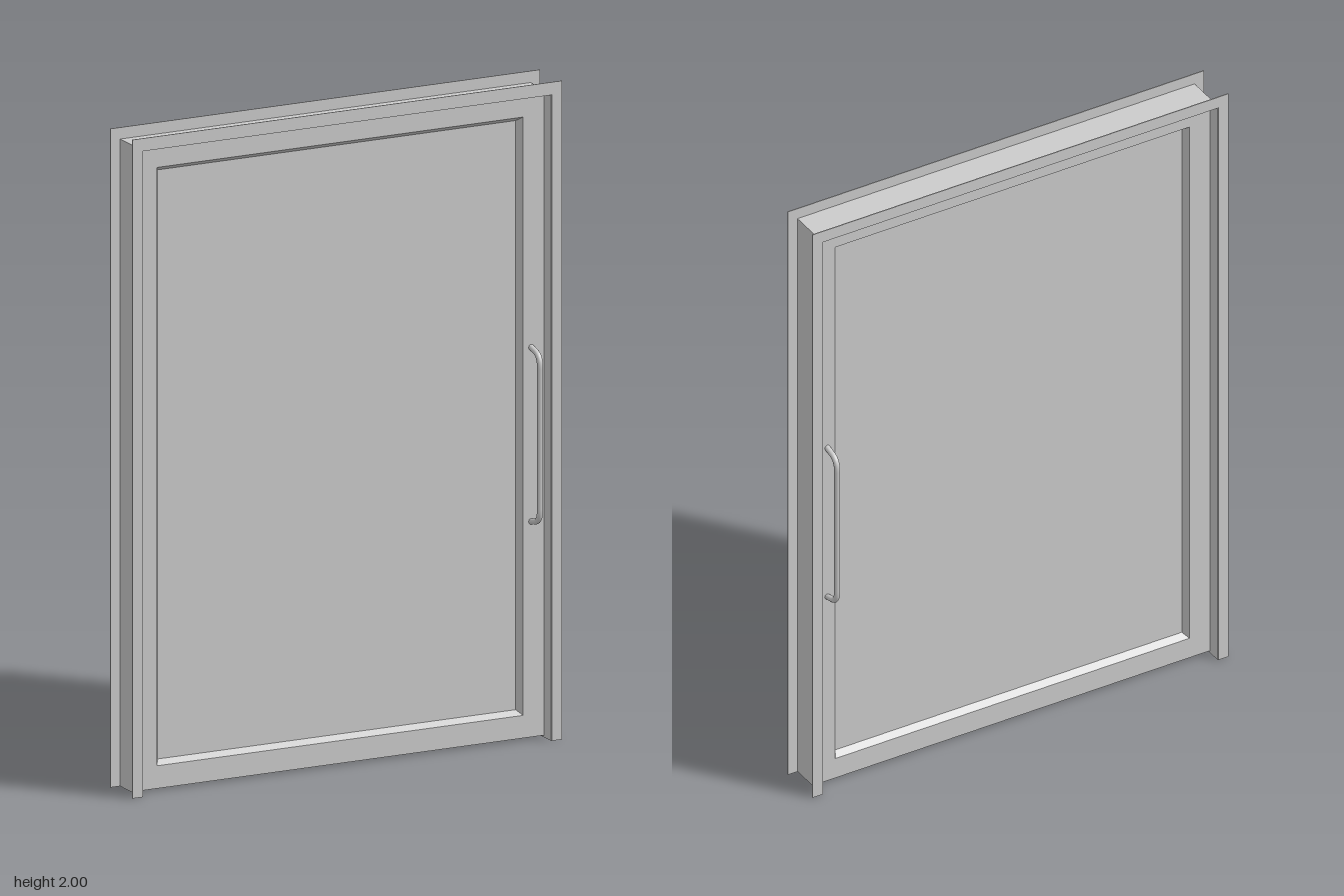
import * as THREE from 'three';

const grey = new THREE.MeshStandardMaterial({ color: 0xcccccc, side: THREE.DoubleSide });

function add(parent, name, geometry) {
  const mesh = new THREE.Mesh(geometry, grey);
  mesh.name = name;
  parent.add(mesh);
  return mesh;
}

// Three-sided surround, open at the floor
function surround(outX, outY, inX, inY, depth, z) {
  const pts = [[-outX, 0], [-outX, outY], [outX, outY], [outX, 0], [inX, 0], [inX, inY], [-inX, inY], [-inX, 0]];
  const shape = new THREE.Shape(pts.map(([x, y]) => new THREE.Vector2(x, y)));
  const g = new THREE.ExtrudeGeometry(shape, { depth, bevelEnabled: false });
  return g.translate(0, 0, z);
}

// Rectangle path between two heights, centred on x
function rect(PathType, x, y0, y1) {
  return new PathType([[-x, y0], [x, y0], [x, y1], [-x, y1]].map(([a, b]) => new THREE.Vector2(a, b)));
}

// Mitred sloping bead from the face of the leaf down to the panel
function beadGeometry(x, y0, y1, width, zOut, zIn) {
  const ring = (w, z) => [[-x + w, y0 + w, z], [x - w, y0 + w, z], [x - w, y1 - w, z], [-x + w, y1 - w, z]];
  const outer = ring(0, zOut), inner = ring(width, zIn);
  const pos = [];
  for (let i = 0; i < 4; i++) {
    const j = (i + 1) % 4;
    pos.push(...outer[i], ...outer[j], ...inner[j], ...outer[i], ...inner[j], ...inner[i]);
  }
  const g = new THREE.BufferGeometry();
  g.setAttribute('position', new THREE.Float32BufferAttribute(pos, 3));
  g.computeVertexNormals();
  return g;
}

// Bowed pull bar with bent ends
function handleGeometry(x) {
  const v = (y, z) => new THREE.Vector3(x, y, z);
  const path = new THREE.CurvePath();
  path.add(new THREE.LineCurve3(v(0.66, 0.022), v(0.668, 0.055)));
  path.add(new THREE.QuadraticBezierCurve3(v(0.668, 0.055), v(0.675, 0.08), v(0.71, 0.081)));
  path.add(new THREE.LineCurve3(v(0.71, 0.081), v(1.14, 0.081)));
  path.add(new THREE.QuadraticBezierCurve3(v(1.14, 0.081), v(1.175, 0.08), v(1.182, 0.055)));
  path.add(new THREE.LineCurve3(v(1.182, 0.055), v(1.19, 0.022)));
  return new THREE.TubeGeometry(path, 120, 0.009, 12);
}

export function createModel() {
  const door = new THREE.Group();
  door.name = 'door';

  // Fixed frame: lining with a thin flange on each face
  const frame = new THREE.Group();
  frame.name = 'frame';
  door.add(frame);
  add(frame, 'lining', surround(0.678, 1.965, 0.674, 1.961, 0.14, -0.07));
  add(frame, 'frontFlange', surround(0.71, 2, 0.676, 1.963, 0.003, 0.068));
  add(frame, 'backFlange', surround(0.71, 2, 0.676, 1.963, 0.003, -0.071));

  // Swinging leaf: stiles and rails around a recessed panel
  const leaf = new THREE.Group();
  leaf.name = 'leaf';
  door.add(leaf);
  const half = 0.025, openX = 0.605, openY0 = 0.075, openY1 = 1.892;
  const outline = rect(THREE.Shape, 0.674, 0.006, 1.961);
  outline.holes.push(rect(THREE.Path, openX, openY0, openY1));
  const rails = new THREE.ExtrudeGeometry(outline, { depth: half * 2, bevelEnabled: false });
  add(leaf, 'stilesAndRails', rails.translate(0, 0, -half));
  const panel = new THREE.BoxGeometry(openX * 2, openY1 - openY0, 0.008);
  add(leaf, 'panel', panel.translate(0, (openY0 + openY1) / 2, 0));

  // Beads and pull handles on both faces
  for (const side of [1, -1]) {
    const label = side > 0 ? 'front' : 'back';
    const bead = add(leaf, label + 'Bead', beadGeometry(openX, openY0, openY1, 0.014, half, 0.004));
    if (side < 0) bead.rotation.y = Math.PI;
    const handle = add(leaf, label + 'Handle', handleGeometry(0.632 * side));
    if (side < 0) handle.rotation.y = Math.PI;
  }
  return door;
}
